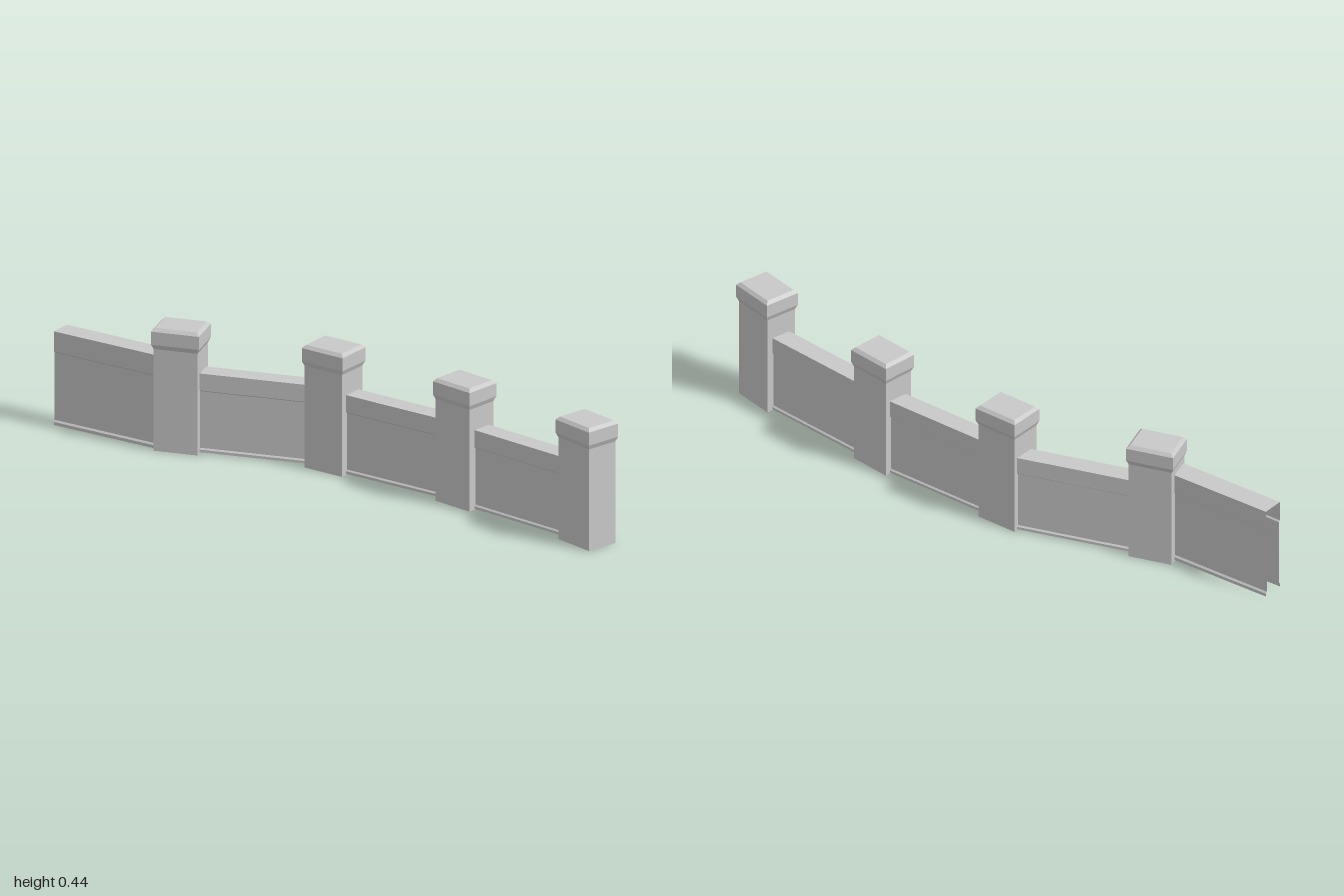
import * as THREE from 'three';

// Stack rectangles [y, halfX, halfZ] into a flat-faced shell with an open base.
// Shells with open ends also leave out the two x ends.
function stackRects(rows, openEnds = false) {
  const pos = [];
  const corners = ([y, hx, hz]) => [[-hx, y, hz], [hx, y, hz], [hx, y, -hz], [-hx, y, -hz]];
  const quad = (a, b, c, d) => [a, b, c, a, c, d].forEach((p) => pos.push(...p));
  const rings = rows.map(corners);
  for (let i = 0; i < rings.length - 1; i++) {
    const lo = rings[i], hi = rings[i + 1];
    for (let s = 0; s < 4; s += openEnds ? 2 : 1) {
      const n = (s + 1) % 4;
      quad(lo[s], lo[n], hi[n], hi[s]);
    }
  }
  quad(...rings[rings.length - 1]);
  const geo = new THREE.BufferGeometry();
  geo.setAttribute('position', new THREE.Float32BufferAttribute(pos, 3));
  geo.computeVertexNormals();
  return geo;
}

// Pillar: plain shaft, flared cap, chamfered top
const PILLAR = [
  [0, 0.0775, 0.059], [0.365, 0.0775, 0.059], [0.382, 0.0845, 0.066],
  [0.429, 0.0845, 0.066], [0.44, 0.074, 0.0555],
];

// Wall section [y, halfZ]: plinth, panel, coping with a sharp drip edge
const WALL = [
  [0.004, 0.036], [0.013, 0.036], [0.018, 0.031], [0.221, 0.031], [0.225, 0.0355], [0.286, 0.0355],
];

export function createModel() {
  const group = new THREE.Group();
  const stone = new THREE.MeshStandardMaterial({
    color: 0xc8c8c8, flatShading: true, side: THREE.DoubleSide,
  });
  stone.name = 'greyStone';

  const place = (geo, name, x, z, degrees) => {
    const mesh = new THREE.Mesh(geo, stone);
    mesh.name = name;
    mesh.position.set(x, 0, z);
    mesh.rotation.y = -THREE.MathUtils.degToRad(degrees);
    group.add(mesh);
  };

  // Four pillars along the curve: x, z, turn
  const pillarGeo = stackRects(PILLAR);
  [
    [-0.555, -0.32, 12],
    [-0.025, -0.18, 30],
    [0.446, 0.107, 37],
    [0.893, 0.443, 43],
  ].forEach(([x, z, a], i) => place(pillarGeo, `pillar${i + 1}`, x, z, a));

  // Wall runs: start x, start z, end x, turn, height scale, thickness scale
  [
    [-0.982, -0.514, -0.59, 28, 1.19, 1.1],
    [-0.555, -0.32, -0.06, 11.5, 1, 1],
    [-0.025, -0.18, 0.42, 30, 1, 1],
    [0.446, 0.108, 0.865, 35.7, 1, 1],
  ].forEach(([x, z, endX, a, sy, sz], i) => {
    const run = endX - x;
    const rise = run * Math.tan(THREE.MathUtils.degToRad(a));
    const rows = WALL.map(([y, hz]) => [y * sy, Math.hypot(run, rise) / 2, hz * sz]);
    place(stackRects(rows, true), `wall${i + 1}`, x + run / 2, z + rise / 2, a);
  });

  return group;
}
